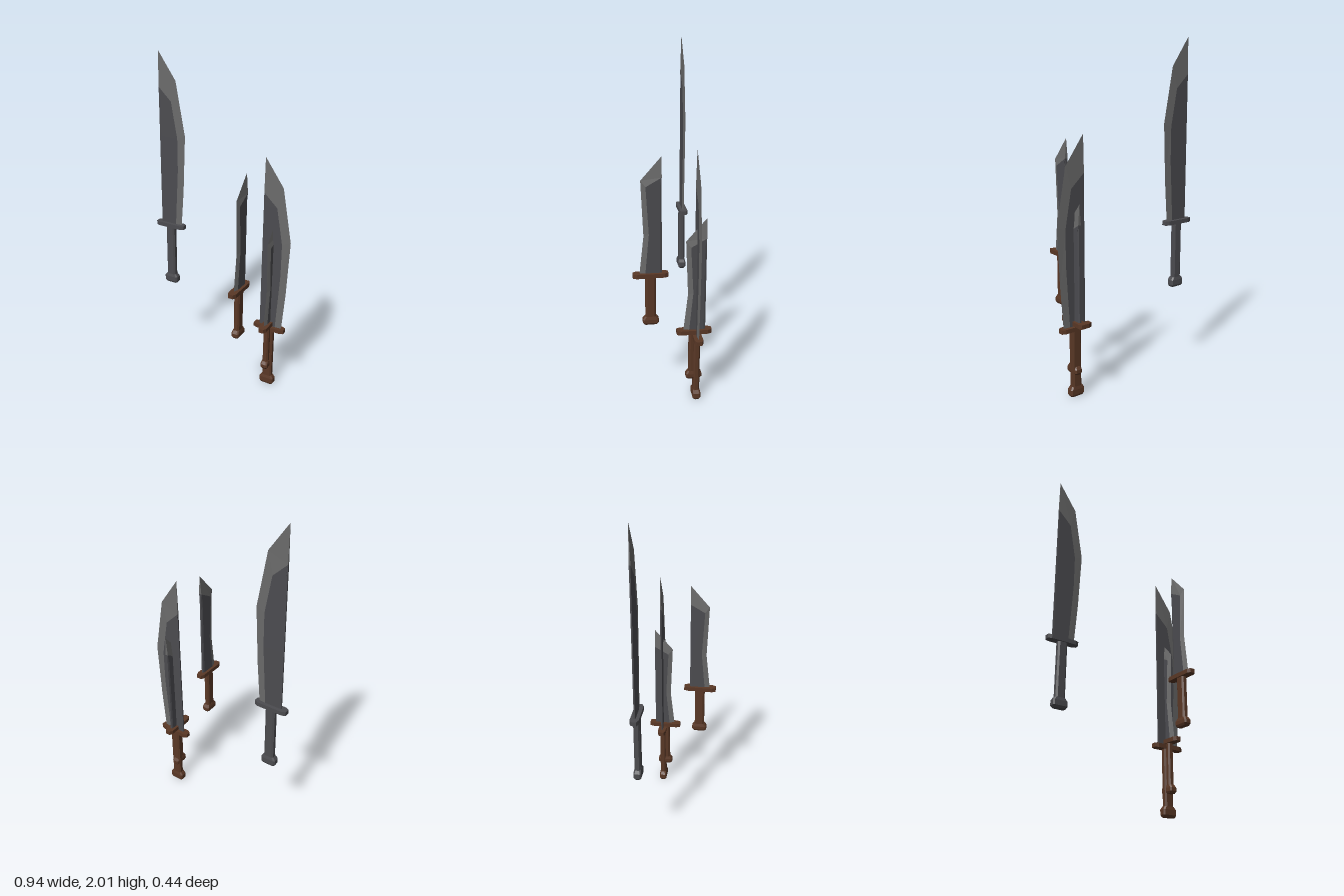
import * as THREE from 'three';

const mat = (color) => new THREE.MeshStandardMaterial({ color, flatShading: true });
const steel = mat(0x4c4c50), edgeSteel = mat(0x6a6a6a), darkGrip = mat(0x4c4c50), brown = mat(0x5a3826);

function facets(points, material, name) {
  const g = new THREE.BufferGeometry().setFromPoints(points);
  g.computeVertexNormals();
  const m = new THREE.Mesh(g, material);
  m.name = name;
  return m;
}
const v = (x, y, z) => new THREE.Vector3(x, y, z);
const quad = (out, a, b, c, d) => out.push(a, b, c, a, c, d);

// Solid with chamfered rectangular sections; levels are [y, halfWidth, halfDepth]
function chamferedLoft(levels, cutX, cutZ, material, name) {
  const out = [];
  const rings = levels.map(([y, w, d]) => [
    [w, -d + cutZ], [w, d - cutZ], [w - cutX, d], [-w + cutX, d],
    [-w, d - cutZ], [-w, -d + cutZ], [-w + cutX, -d], [w - cutX, -d],
  ].map(([x, z]) => v(x, y, z)));
  const last = rings.length - 1;
  const bottom = v(0, levels[0][0], 0), top = v(0, levels[last][0], 0);
  for (let j = 0; j < 8; j++) {
    const k = (j + 1) % 8;
    for (let i = 0; i < last; i++) quad(out, rings[i][k], rings[i][j], rings[i + 1][j], rings[i + 1][k]);
    out.push(bottom, rings[0][j], rings[0][k], top, rings[last][k], rings[last][j]);
  }
  return facets(out, material, name);
}

// Single-edged blade: straight spine, flat body up to a ridge, bevel down to the edge
function blade({ spine, ridge, edge, t, spineT, back }) {
  const body = [], bevel = [];
  const rows = ridge.map(([u, y], i) => [
    [spine, y, spineT], [Math.min(spine + back, u), y, t], [u, y, t], [...edge[i], 0],
  ]);
  for (let i = 0; i < rows.length - 1; i++) {
    for (let c = 0; c < 3; c++) {
      const out = c < 2 ? body : bevel;
      const p = [rows[i][c], rows[i][c + 1], rows[i + 1][c + 1], rows[i + 1][c]];
      quad(out, ...p.map(([x, y, z]) => v(x, y, z)));
      quad(out, ...p.reverse().map(([x, y, z]) => v(x, y, -z)));
    }
    const y0 = ridge[i][1], y1 = ridge[i + 1][1];
    quad(body, v(spine, y0, -spineT), v(spine, y0, spineT), v(spine, y1, spineT), v(spine, y1, -spineT));
  }
  // back of the tip
  const [tu, ty] = edge.at(-1), ry = ridge.at(-1)[1];
  bevel.push(v(spine, ry, -t), v(spine, ry, t), v(tu, ty, 0));
  const g = new THREE.Group();
  g.name = 'blade';
  g.add(facets(body, steel, 'bladeBody'), facets(bevel, edgeSteel, 'bladeEdge'));
  return g;
}

const LONG = {
  guardY: 0.395, pommelH: 0.06, gripW: 0.03,
  blade: {
    spine: -0.065, t: 0.005, spineT: 0.004, back: 0.01,
    ridge: [[0.038, 0.41], [0.06, 0.78], [0.06, 0.98], [0.02, 1.2], [-0.065, 1.28]],
    edge: [[0.078, 0.41], [0.097, 0.66], [0.112, 1.0], [0.052, 1.325], [-0.065, 1.49]],
  },
};
const SHORT = {
  guardY: 0.295, pommelH: 0.05, gripW: 0.03,
  blade: {
    spine: -0.064, t: 0.009, spineT: 0.005, back: 0.01,
    ridge: [[0.03, 0.31], [0.008, 0.55], [0.024, 0.825], [-0.064, 0.875]],
    edge: [[0.062, 0.31], [0.037, 0.54], [0.051, 0.86], [-0.064, 0.99]],
  },
};

function sword(name, spec, hilt, x, y, z, turned) {
  const g = new THREE.Group();
  g.name = name;
  const { guardY, pommelH: h, gripW } = spec;
  g.add(
    chamferedLoft([[0, 0.038, 0.017], [0.012, 0.046, 0.023], [h - 0.018, 0.046, 0.023], [h, 0.034, 0.019]],
      0.008, 0.008, hilt, 'pommel'),
    chamferedLoft([[h - 0.01, gripW, 0.018], [guardY + 0.005, gripW, 0.018]], 0.01, 0.008, hilt, 'grip'),
    chamferedLoft([[guardY, 0.1, 0.025], [guardY + 0.025, 0.1, 0.025]], 0.022, 0.01, hilt, 'guard'),
    blade(spec.blade),
  );
  g.position.set(x, y, z);
  if (turned) g.rotation.y = -Math.PI / 2;
  return g;
}

export function createModel() {
  const model = new THREE.Group();
  model.name = 'swords';
  model.add(
    sword('greyLongSword', LONG, darkGrip, -0.373, 0.515, -0.165, false),
    sword('brownLongSword', LONG, brown, 0.37 - 0.015, 0, -0.135, false),
    sword('frontShortSword', SHORT, brown, 0.274, 0.46, 0.118, true),
    sword('backShortSword', SHORT, brown, 0.355, 0.13, -0.12, true),
  );
  // centre the long sword guards on the set's full width
  model.children[1].position.x = 0.37;
  model.children[1].position.x -= 0.013;
  return model;
}
